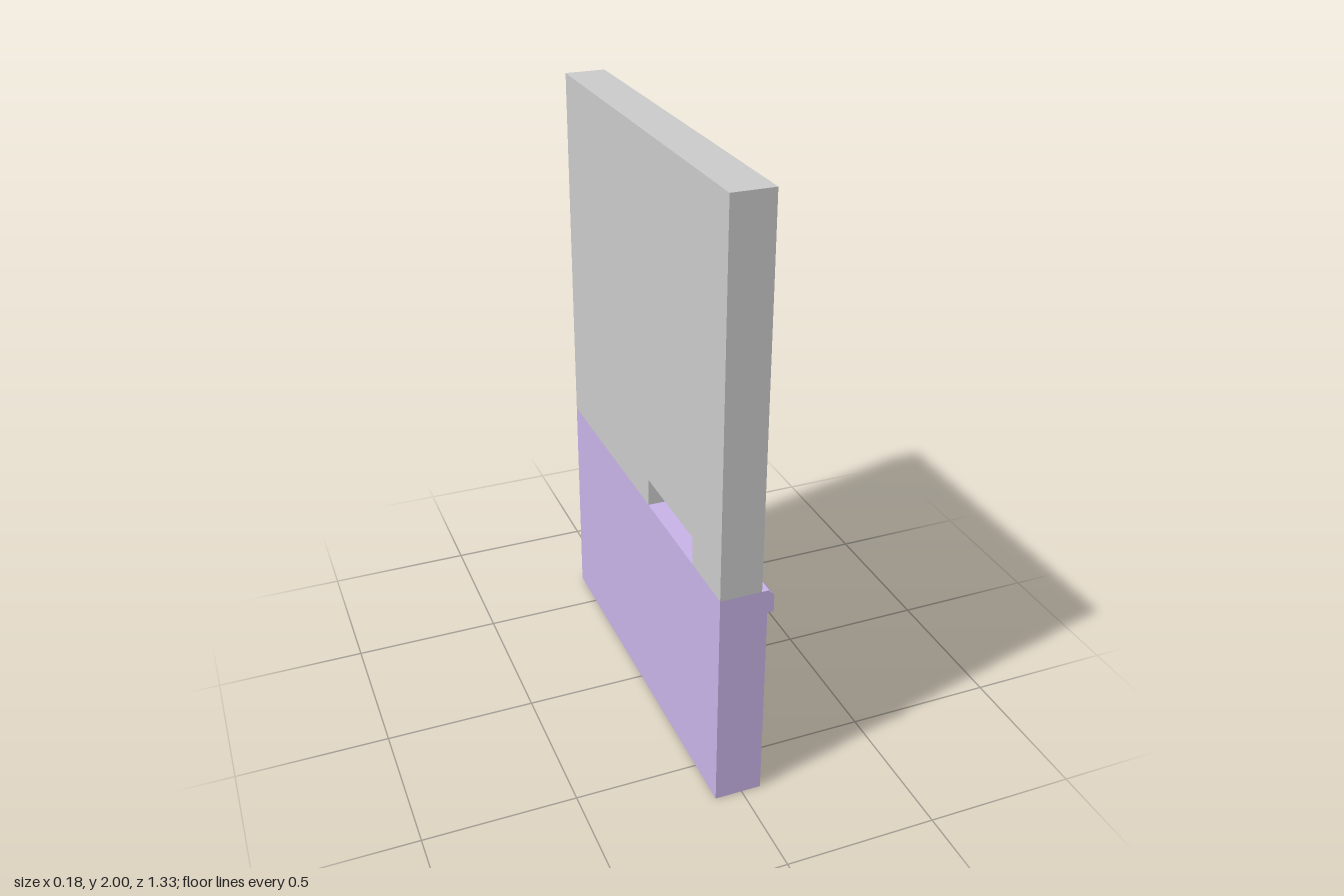
import * as THREE from 'three';

const HALF = 0.665;   // half the wall length along z
const BACK = -0.09;   // rear face of the wall
const LEDGE = 0.76;   // top of the wainscot

const grey = new THREE.MeshStandardMaterial({ color: 0xcccccc });
const lilac = new THREE.MeshStandardMaterial({ color: 0xc8b4e8 });
const wood = new THREE.MeshStandardMaterial({ color: 0xe0a565 });
const black = new THREE.MeshStandardMaterial({ color: 0x0a0a0a });

// Closed shape from points
const shapeOf = (pts) => new THREE.Shape(pts.map(([x, y]) => new THREE.Vector2(x, y)));

// Extrude a (z, y) outline along x, from x0 to x1
function slab(pts, x0, x1) {
  const outline = shapeOf(pts.map(([z, y]) => [-z, y]));
  const geo = new THREE.ExtrudeGeometry(outline, { depth: x1 - x0, bevelEnabled: false });
  return geo.rotateY(Math.PI / 2).translate(x0, 0, 0);
}

const rect = (z0, z1, y0, y1) => [[z0, y0], [z1, y0], [z1, y1], [z0, y1]];

export function createModel() {
  const group = new THREE.Group();
  const add = (name, geo, mat) => {
    const mesh = new THREE.Mesh(geo, mat);
    mesh.name = name;
    group.add(mesh);
    return mesh;
  };

  // Upper wall, notched at the bottom for the pass-through opening
  const [z0, z1, top] = [0.08, 0.453, 0.855];
  add('upperWall', slab([
    [-HALF, LEDGE], [z0, LEDGE], [z0, top], [z1, top], [z1, LEDGE],
    [HALF, LEDGE], [HALF, 2], [-HALF, 2],
  ], BACK, 0.045), grey);

  // Wainscot with its rounded chair rail, one profile swept along the wall
  const profile = new THREE.Shape();
  profile.moveTo(BACK, 0);
  profile.lineTo(0.065, 0);
  profile.lineTo(0.065, 0.68);
  profile.lineTo(0.086, 0.68);
  profile.lineTo(0.086, 0.732);
  profile.quadraticCurveTo(0.084, 0.748, 0.071, 0.753);
  profile.lineTo(0.069, LEDGE);
  profile.lineTo(BACK, LEDGE);
  const sweep = new THREE.ExtrudeGeometry(profile, { depth: 2 * HALF, bevelEnabled: false, curveSegments: 6 });
  add('wainscot', sweep.translate(0, 0, -HALF), lilac);

  // Two panels, each a thin border with a bevelled raised field
  for (const side of [1, -1]) {
    const mid = side * 0.335;
    add('panelBorder', slab(rect(mid - 0.3, mid + 0.3, 0.143, 0.645), 0.06, 0.0665), lilac);
    const field = new THREE.ExtrudeGeometry(
      shapeOf(rect(-mid - 0.28, -mid + 0.28, 0.165, 0.627)),
      { depth: 0.005, bevelThickness: 0.004, bevelSize: 0.008, bevelSegments: 1 });
    add('panelField', field.rotateY(Math.PI / 2).translate(0.0615, 0, 0), lilac);
  }

  // Wooden trim round the opening, open at the ledge
  const t = 0.021;
  add('openingTrim', slab([
    [z0 - t, LEDGE], [z0, LEDGE], [z0, top], [z1, top], [z1, LEDGE],
    [z1 + t, LEDGE], [z1 + t, top + t], [z0 - t, top + t],
  ], 0.045, 0.055), wood);

  // Dark shutter set halfway into the opening
  add('shutter', slab(rect(z0, z1, LEDGE, top), -0.01, -0.002), black);

  return group;
}
